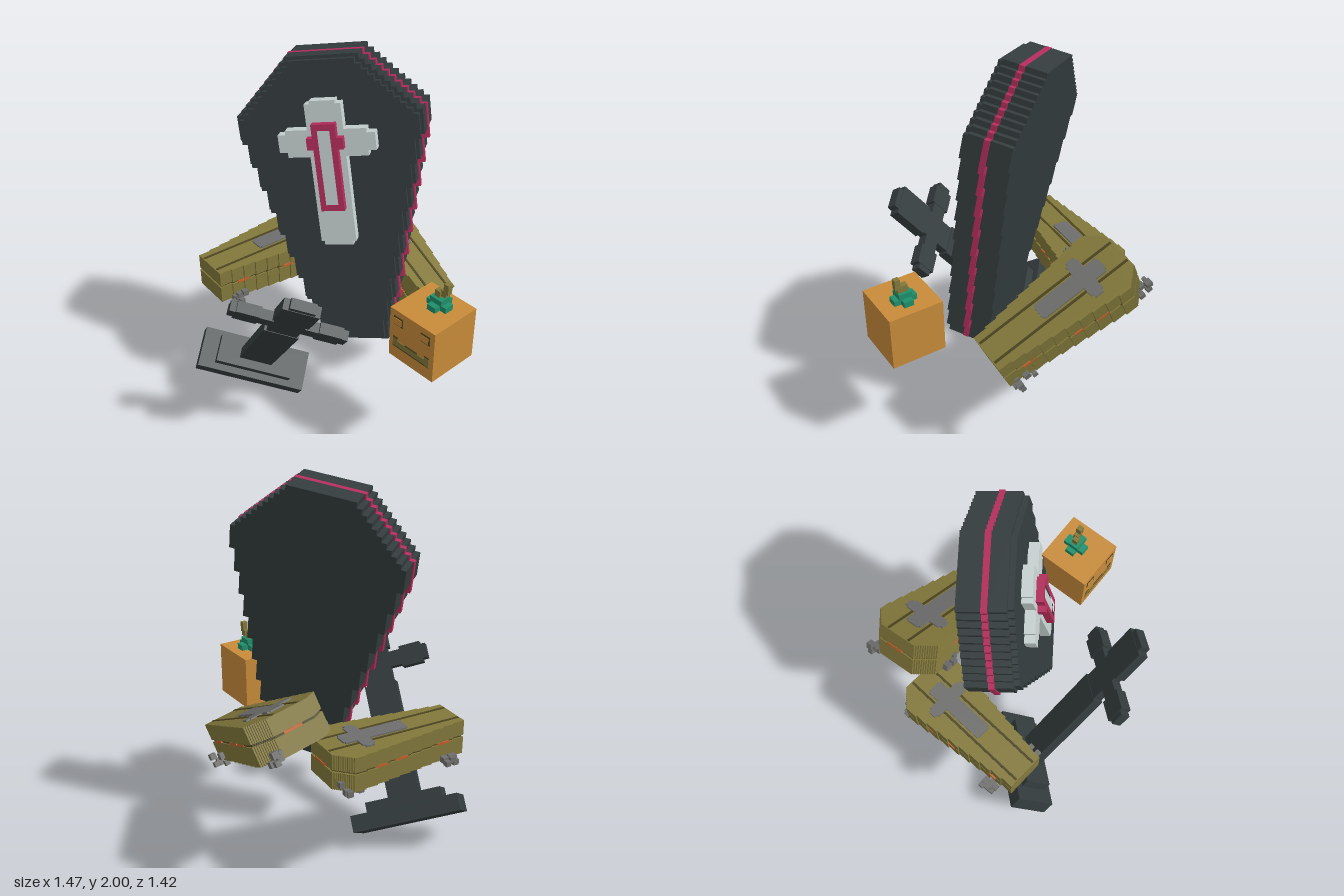
import * as THREE from 'three';

const mat = (name, color, side = THREE.FrontSide) => {
  const m = new THREE.MeshStandardMaterial({ color, side });
  m.name = name;
  return m;
};

export function createModel() {
  const slate = mat('slate', 0x343c3d), crimson = mat('crimson', 0xb52d5c), bone = mat('bone white', 0xc9d4d2);
  const orange = mat('pumpkin orange', 0xc88b3a), olive = mat('olive wood', 0x82783b), groove = mat('dark wood', 0x4c4420);
  const stone = mat('grey stone', 0x6e6e6d), leaf = mat('leaf green', 0x1f8f6a), ember = mat('ember', 0xc2602c);

  const model = new THREE.Group();
  model.name = 'graveyardProps';

  const add = (parent, name, geo, material, x = 0, y = 0, z = 0) => {
    const mesh = new THREE.Mesh(geo, material);
    mesh.name = name;
    mesh.position.set(x, y, z);
    parent.add(mesh);
    return mesh;
  };
  const box = (parent, name, material, w, h, d, x, y, z) =>
    add(parent, name, new THREE.BoxGeometry(w, h, d), material, x, y, z);

  // Group whose local x and y follow the given directions
  const frame = (name, xDir, yDir, pos) => {
    const g = new THREE.Group();
    g.name = name;
    const y = new THREE.Vector3(...yDir).normalize();
    const z = new THREE.Vector3(...xDir).cross(y).normalize();
    const x = new THREE.Vector3().crossVectors(y, z);
    g.quaternion.setFromRotationMatrix(new THREE.Matrix4().makeBasis(x, y, z));
    g.position.set(...pos);
    model.add(g);
    return g;
  };

  // Closed shape from its right half, listed top to bottom
  const mirrored = (half, scale = 1) => {
    const right = half.map(([x, y]) => new THREE.Vector2(x * scale, y * scale));
    const left = right.map(p => new THREE.Vector2(-p.x, p.y)).reverse();
    return new THREE.Shape([...right, ...left]);
  };
  const slab = (shape, depth) => new THREE.ExtrudeGeometry(shape, { depth, bevelEnabled: false });

  // Stepped coffin outline; grow widens it, shift delays the lower steps
  const STEPS = 10;
  const outline = (len, wide, end, grow = 0, shift = 0, trim = 0) => {
    const pts = [], d = (wide - end) / 2 / STEPS;
    let y = len / 2 - trim;
    for (let i = 0; i < STEPS; i++) {
      const x = end / 2 + i * d + grow;
      pts.push([x, y]);
      y -= d;
      pts.push([x, y]);
    }
    const tread = (y + len / 2) / STEPS;
    const top = y;
    for (let i = 0; i < STEPS; i++) {
      const x = wide / 2 - i * (wide - end) / 2 / (STEPS - 1) + grow;
      pts.push([x, i ? top - i * tread - shift : top]);
      pts.push([x, i < STEPS - 1 ? top - (i + 1) * tread - shift : -len / 2 + trim]);
    }
    return mirrored(pts);
  };

  const crossHalf = [[.06, .54], [.06, .525], [.085, .525], [.085, .405], [.19, .405], [.19, .385], [.228, .385],
    [.228, .3], [.19, .3], [.19, .275], [.085, .275], [.085, -.15], [.07, -.15], [.07, -.168]];

  // Tall coffin
  const L = 1.453, W = .875, E = .342;
  const tall = new THREE.Group();
  tall.name = 'tallCoffin';
  tall.position.set(.03, 1.24, .01);
  tall.rotation.set(-.147, 0, .153);
  model.add(tall);
  add(tall, 'coffinBody', slab(outline(L, W, E), .105), slate, 0, 0, -.119);
  add(tall, 'coffinBand', slab(outline(L, W, E, .006, .045), .028), crimson, 0, 0, -.014);
  add(tall, 'coffinLid', slab(outline(L, W, E), .08), slate, 0, 0, .014);
  add(tall, 'coffinLidPanel', slab(outline(L, W, E, -.015, 0, .015), .025), slate, 0, 0, .094);
  add(tall, 'lidCross', slab(mirrored(crossHalf), .05), bone, 0, 0, .119);
  const ring = mirrored([[.056, .44], [.056, .375], [.085, .375], [.085, .32], [.056, .32], [.056, .02]]);
  ring.holes.push(new THREE.Path([[-.029, .41], [.029, .41], [.029, .05], [-.029, .05]].map(p => new THREE.Vector2(...p))));
  add(tall, 'lidCrossRing', slab(ring, .035), crimson, 0, 0, .169);

  // Small wooden coffins; local z = 0 is the lid surface
  let seed = 7;
  const rand = () => (seed = (seed * 16807) % 2147483647) / 2147483647;
  const woodCoffin = (name, xDir, yDir, pos, s, rubble) => {
    const g = frame(name, xDir, yDir, pos);
    const len = .74 * s, wide = .355 * s, end = .205 * s, deep = .18 * s;
    add(g, 'woodBody', slab(outline(len, wide, end), deep * .5), olive, 0, 0, -deep);
    add(g, 'woodSeam', slab(outline(len, wide, end, -.008, 0, .008), deep * .06), groove, 0, 0, -deep * .5);
    add(g, 'woodLid', slab(outline(len, wide, end), deep * .44), olive, 0, 0, -deep * .44);
    add(g, 'woodCross', slab(mirrored(crossHalf, .5 * s), .008), stone, 0, 0, 0);
    for (const side of [-1, 1]) {
      box(g, 'lidGroove', groove, .012 * s, len * .985, .006, side * .06 * s, 0, 0);
      // Glowing gaps along the seam
      for (const v of [-.24, .02, .14]) {
        const x = wide / 2 - (wide - end) / 2 * THREE.MathUtils.clamp((.295 - v) / .66, 0, 1);
        box(g, 'seamGlow', ember, .008, .07 * s, .012 * s, side * x, v * s, -deep * .47);
      }
    }
    box(g, 'endGlow', ember, .09 * s, .008, .012 * s, .01, len / 2, -deep * .47);
    // Rubble clinging to the lower edges
    for (const [x, y] of rubble)
      for (let i = 0; i < 9; i++) {
        const a = (.014 + rand() * .018) * s;
        box(g, 'rubble', stone, a, a, a, (x + (rand() - .5) * .05) * s, (y + (rand() - .5) * .1) * s,
          -deep + (rand() * .05 - .012) * s);
      }
  };
  woodCoffin('levelCoffin', [.775, 0, .631], [.631, 0, -.775], [-.413, .81, -.16], 1,
    [[-.15, -.25], [.125, -.28], [-.15, .3], [.14, .29]]);
  woodCoffin('leaningCoffin', [.535, -.198, -.823], [-.706, .436, -.563], [.234, .852, -.327], 1.105,
    [[.12, .34], [-.165, .2], [.12, -.3], [-.11, -.31]]);

  // Leaning grave cross on a stepped base
  const grave = frame('graveCross', [.925, -.314, -.218], [.4, .78, .478], [-.47, .147, .089]);
  box(grave, 'graveBase', slate, .58, .09, .215, 0, .045, 0);
  box(grave, 'graveStep', slate, .41, .055, .145, 0, .117, 0);
  box(grave, 'graveShaft', slate, .175, .62, .055, 0, .45, 0);
  box(grave, 'graveNeck', slate, .15, .2, .05, 0, .86, 0);
  box(grave, 'graveHead', slate, .175, .2, .055, 0, 1.05, 0);
  box(grave, 'graveTip', slate, .12, .03, .05, 0, 1.165, 0);
  for (const side of [-1, 1]) {
    box(grave, 'graveArm', slate, .1, .085, .05, side * .11, .88, 0);
    box(grave, 'graveArmEnd', slate, .115, .115, .055, side * .2, .88, 0);
    box(grave, 'graveArmTip', slate, .03, .08, .05, side * .272, .88, 0);
  }

  // Carved pumpkin
  const pumpkin = new THREE.Group();
  pumpkin.name = 'pumpkin';
  pumpkin.position.set(.535, .762, .327);
  pumpkin.rotation.y = -.593;
  model.add(pumpkin);
  box(pumpkin, 'pumpkinBody', orange, .282, .285, .282, 0, 0, 0);
  const carve = (name, w, h, x, y, m = groove) => box(pumpkin, name, m, w, h, .004, x, y, .142);
  for (const side of [-1, 1]) {
    carve('eyeEdge', .056, .05, side * .085, .085);
    carve('eye', .046, .036, side * .085 - .003, .083, orange).position.z = .144;
    carve('mouthCorner', .03, .05, side * .1, -.045, olive);
    carve('mouthCornerEdge', .03, .008, side * .1, -.018);
  }
  carve('mouth', .17, .03, 0, -.05, olive);
  carve('mouthEdge', .23, .006, 0, -.07);
  carve('mouthTop', .08, .006, 0, -.032);

  // Leaves and crooked stem
  const top = .1425;
  box(pumpkin, 'leafLong', leaf, .12, .03, .05, .01, top + .015, -.03);
  box(pumpkin, 'leafCross', leaf, .05, .03, .12, .01, top + .015, -.03);
  box(pumpkin, 'leafUpper', leaf, .07, .03, .06, .01, top + .044, -.03);
  box(pumpkin, 'stemLow', olive, .03, .04, .03, .005, top + .075, -.03);
  box(pumpkin, 'stemMid', olive, .035, .035, .03, .03, top + .085, -.04);
  box(pumpkin, 'stemTop', olive, .028, .055, .028, .045, top + .115, -.04);

  return model;
}
